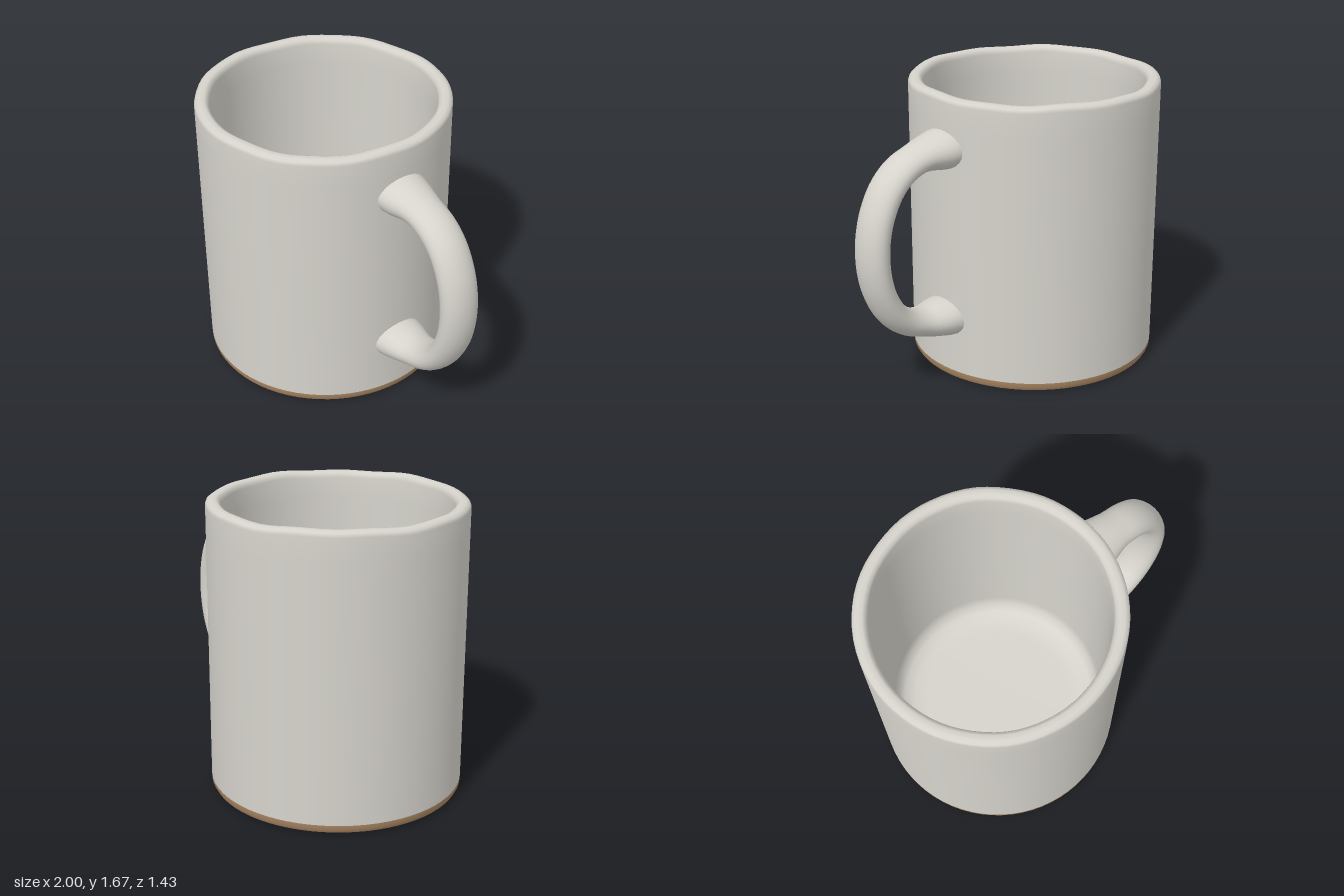
import * as THREE from 'three';
import { mergeVertices, toCreasedNormals } from 'three/addons/utils/BufferGeometryUtils.js';

const glaze = new THREE.MeshStandardMaterial({ name: 'grey glaze', color: 0xd6d3cc });
const clay = new THREE.MeshStandardMaterial({ name: 'bare brown clay', color: 0xa98663 });
const CUP_X = -0.283;

// turned shape around the cup axis; profile runs bottom centre -> outside -> inside
function turned(name, profile, material) {
  const geometry = new THREE.LatheGeometry(profile.map(([r, y]) => new THREE.Vector2(r, y)), 72);
  const mesh = new THREE.Mesh(geometry, material);
  mesh.name = name;
  mesh.position.x = CUP_X;
  return mesh;
}

// slightly uneven hand-made rim, fading out below the lip
function wobbleRim(geometry) {
  const p = geometry.attributes.position;
  for (let i = 0; i < p.count; i++) {
    if (p.getY(i) < 1.62) continue;
    const a = Math.atan2(p.getZ(i), p.getX(i));
    const lift = 0.004 * Math.sin(5 * a + 1) + 0.003 * Math.sin(11 * a);
    p.setY(i, p.getY(i) + lift);
  }
}

// oval tube in the z = 0 plane that flares where it meets the wall
function handleGeometry() {
  const upper = [[0.38, 1.372], [0.46, 1.367], [0.58, 1.358], [0.71, 1.315],
    [0.81, 1.23], [0.88, 1.105], [0.912, 0.99]];
  const midY = 0.873;
  const lower = upper.map(([x, y]) => [x, 2 * midY - y]).reverse();
  const path = new THREE.CatmullRomCurve3(
    [...upper, [0.922, midY], ...lower].map(([x, y]) => new THREE.Vector3(x, y, 0)));
  const rings = 56, sides = 24;
  const geometry = new THREE.TubeGeometry(path, rings, 1, sides);
  const p = geometry.attributes.position;
  for (let i = 0; i < p.count; i++) {
    const c = path.getPointAt(Math.floor(i / (sides + 1)) / rings);
    const flare = 1 - THREE.MathUtils.smoothstep(c.x, 0.4, 0.64);
    const thick = 0.077 + 0.034 * flare, wide = 0.115 + 0.043 * flare;
    p.setXYZ(i, c.x + (p.getX(i) - c.x) * thick, c.y + (p.getY(i) - c.y) * thick, p.getZ(i) * wide);
  }
  geometry.deleteAttribute('uv');
  geometry.deleteAttribute('normal');
  const welded = mergeVertices(geometry);
  welded.computeVertexNormals();
  return welded;
}

export function createModel() {
  const model = new THREE.Group();
  model.name = 'mug';

  // glazed wall, lip and hollow inside
  const cup = turned('cup', [
    [0.717, 0.055], [0.717, 0.5], [0.717, 1.5], [0.717, 1.63], [0.71, 1.65], [0.69, 1.66],
    [0.66, 1.66], [0.642, 1.65], [0.634, 1.625], [0.63, 1.5], [0.63, 0.25], [0.615, 0.18],
    [0.58, 0.135], [0.52, 0.11], [0.44, 0.1], [0, 0.1],
  ], glaze);
  wobbleRim(cup.geometry);
  model.add(cup);

  // unglazed foot with a shallow recess underneath
  const foot = turned('foot', [
    [0, 0.025], [0.54, 0.025], [0.59, 0.012], [0.62, 0.001], [0.685, 0],
    [0.705, 0.01], [0.716, 0.03], [0.717, 0.055],
  ], clay);
  foot.geometry = toCreasedNormals(foot.geometry, 0.6);
  model.add(foot);

  const handle = new THREE.Mesh(handleGeometry(), glaze);
  handle.name = 'handle';
  model.add(handle);
  return model;
}
